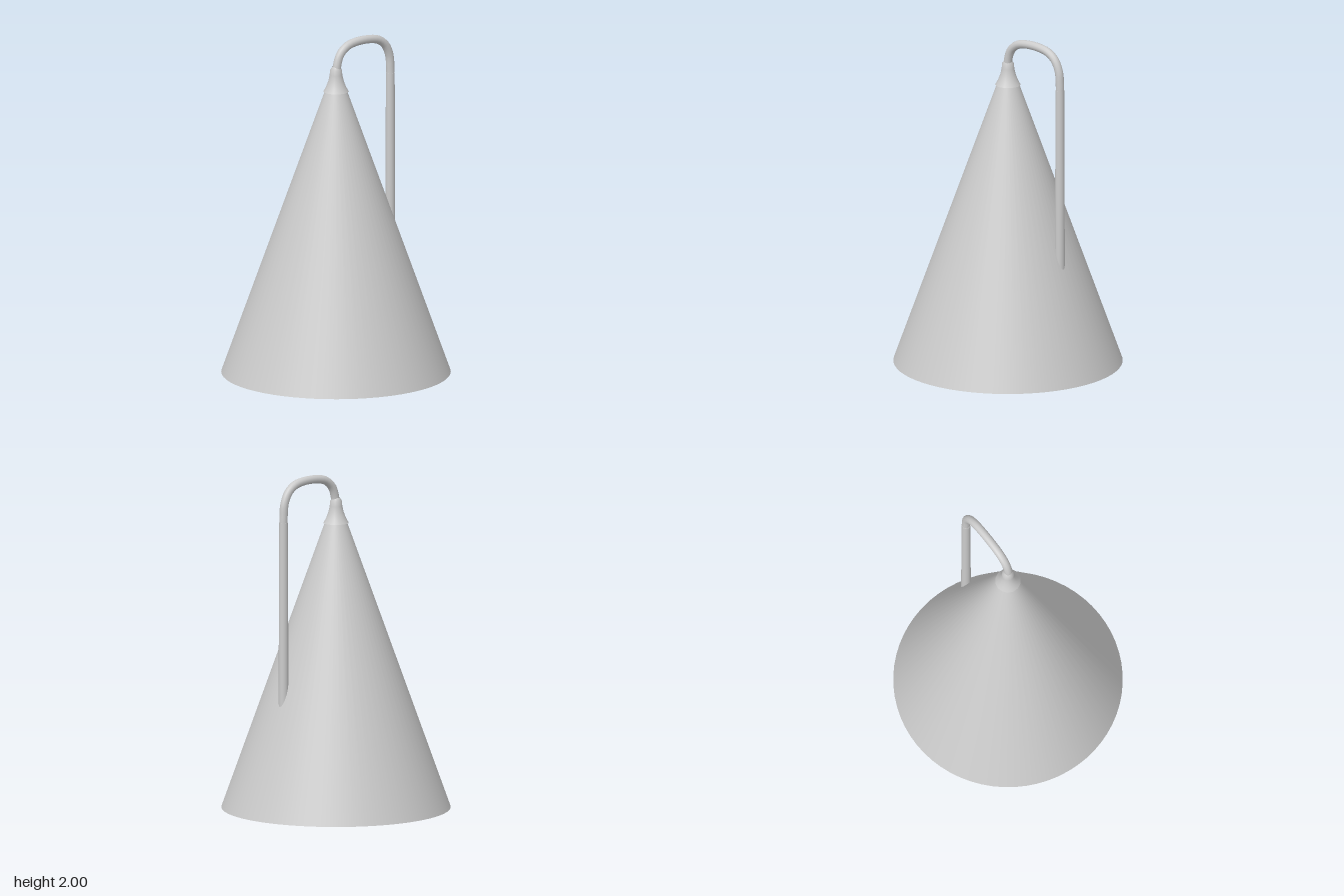
import * as THREE from 'three';

export function createModel() {
  const model = new THREE.Group();
  const mat = new THREE.MeshStandardMaterial({ color: 0xcccccc });
  const open = new THREE.MeshStandardMaterial({ color: 0xcccccc, side: THREE.DoubleSide });
  const add = (name, geometry, material = mat) => {
    const mesh = new THREE.Mesh(geometry, material);
    mesh.name = name;
    model.add(mesh);
    return mesh;
  };
  const lathe = (points, sides) =>
    new THREE.LatheGeometry(points.map(([r, y]) => new THREE.Vector2(r, y)), sides);

  // Thin conical shade, open at the bottom
  add('shade', lathe([[0.67, 0.015], [0.05, 1.745]], 64), open);

  // Flared collar over the tip of the shade
  add('collar', lathe([
    [0.075, 1.7], [0.058, 1.73], [0.045, 1.765], [0.037, 1.8], [0.035, 1.83], [0.022, 1.85],
  ], 14), open);

  // Bent arm rising from the collar and turning down
  const bend = new THREE.CatmullRomCurve3([
    [0, 1.78], [0.006, 1.86], [0.03, 1.92], [0.08, 1.96], [0.15, 1.976], [0.25, 1.976],
    [0.32, 1.961], [0.37, 1.925], [0.402, 1.86], [0.41, 1.78], [0.41, 1.7],
  ].map(([x, y]) => new THREE.Vector3(x, y, 0.004)));
  add('arm', new THREE.TubeGeometry(bend, 28, 0.025, 12));

  // Straight stem passing through the side of the shade
  const stem = add('stem', new THREE.CylinderGeometry(0.026, 0.03, 1.5, 16));
  stem.position.set(0.41, 1.0, 0.004);

  // Socket hidden inside the shade
  const socket = add('socket', new THREE.CylinderGeometry(0.078, 0.078, 0.35, 24));
  socket.position.set(0.41, 0.175, 0.004);

  return model;
}
